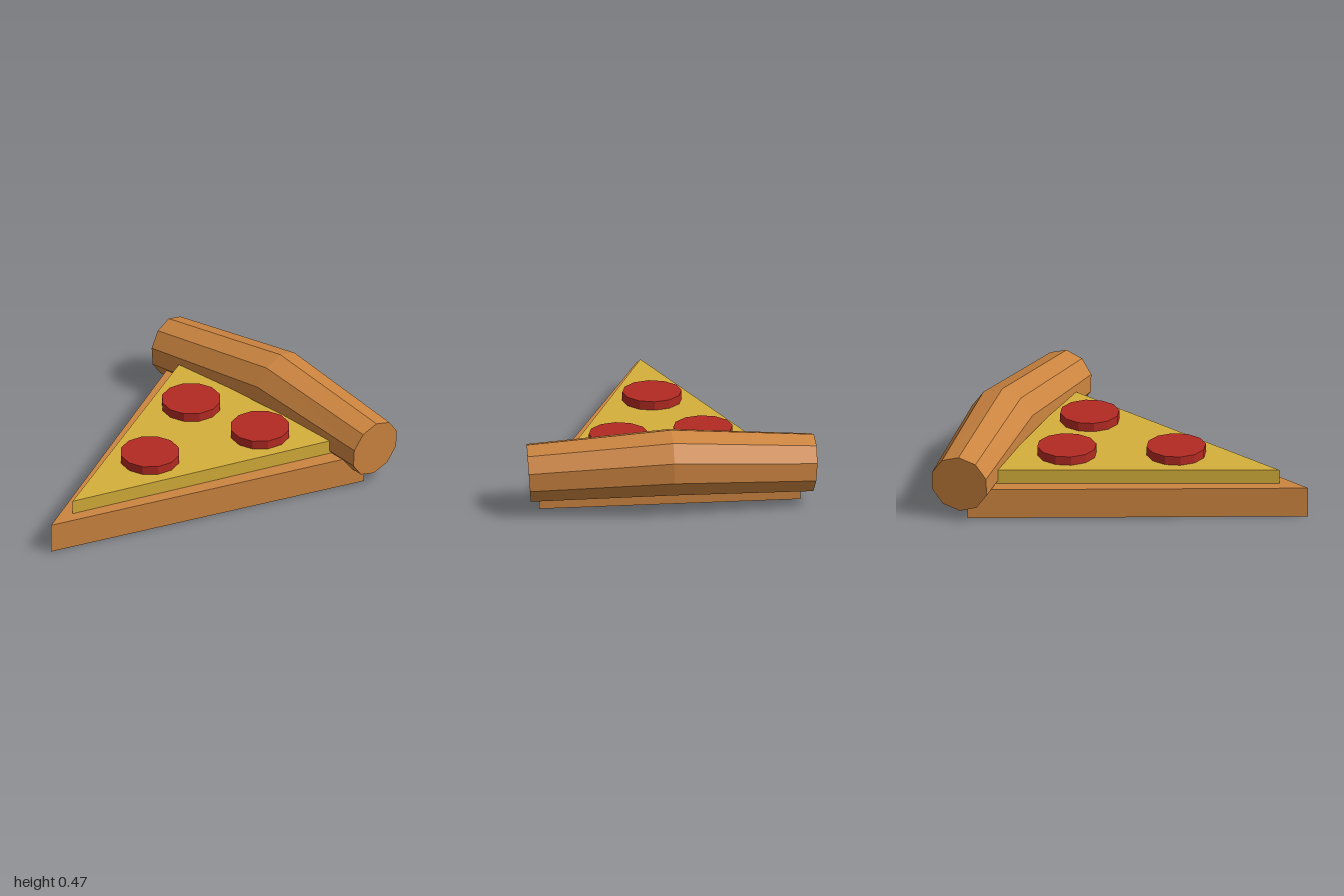
import * as THREE from 'three';

const mat = (name, color) => {
  const m = new THREE.MeshStandardMaterial({ color });
  m.name = name;
  return m;
};

// Triangular slab: tip towards +z, straight back edge
function wedge(name, material, halfWidth, backZ, tipZ, y0, y1) {
  const shape = new THREE.Shape();
  shape.moveTo(-halfWidth, -backZ);
  shape.lineTo(0, -tipZ);
  shape.lineTo(halfWidth, -backZ);
  shape.closePath();
  const geo = new THREE.ExtrudeGeometry(shape, { depth: y1 - y0, bevelEnabled: false });
  geo.rotateX(-Math.PI / 2);
  geo.translate(0, y0, 0);
  const mesh = new THREE.Mesh(geo, material);
  mesh.name = name;
  return mesh;
}

// Ten-sided log lofted through rings, each square to its own direction
function log(rings, sides) {
  const pos = [];
  const loops = rings.map(({ centre, dir, radius }) => {
    const d = new THREE.Vector3(...dir).normalize();
    const up = new THREE.Vector3(0, 1, 0).addScaledVector(d, -d.y).normalize();
    const front = d.clone().cross(up);
    return Array.from({ length: sides }, (_, j) => {
      const t = (j / sides) * Math.PI * 2;
      return new THREE.Vector3(...centre)
        .addScaledVector(up, radius * Math.cos(t))
        .addScaledVector(front, radius * Math.sin(t));
    });
  });
  const tri = (...pts) => pts.forEach((p) => pos.push(p.x, p.y, p.z));
  const first = loops[0], last = loops[loops.length - 1];
  for (let j = 0; j < sides; j++) {
    const k = (j + 1) % sides;
    for (let i = 0; i < loops.length - 1; i++) {
      const a = loops[i], b = loops[i + 1];
      tri(a[j], a[k], b[k]);
      tri(a[j], b[k], b[j]);
    }
    // End caps
    if (j > 0 && k > 0) {
      tri(last[0], last[j], last[k]);
      tri(first[0], first[k], first[j]);
    }
  }
  const geo = new THREE.BufferGeometry();
  geo.setAttribute('position', new THREE.Float32BufferAttribute(pos, 3));
  geo.computeVertexNormals();
  return geo;
}

export function createModel() {
  const group = new THREE.Group();
  group.name = 'pizzaSlice';
  const dough = mat('dough', 0xcd8540);
  const cheese = mat('cheese', 0xd4af3a);
  const salami = mat('pepperoni', 0xb32a22);
  salami.flatShading = true;

  // Dough base and cheese layer
  group.add(wedge('base', dough, 0.725, -0.735, 1, 0, 0.17));
  group.add(wedge('cheese', cheese, 0.585, -0.63, 0.83, 0.17, 0.25));

  // Crust, bent and thicker in the middle
  const crust = new THREE.Mesh(log([
    { centre: [-0.786, 0.225, -0.76], dir: [0.786, 0.055, -0.06], radius: 0.165 },
    { centre: [0, 0.28, -0.82], dir: [1, 0, 0], radius: 0.19 },
    { centre: [0.786, 0.225, -0.76], dir: [0.786, -0.055, 0.06], radius: 0.165 },
  ], 10), dough);
  crust.name = 'crust';
  group.add(crust);

  // Pepperoni discs
  const disc = new THREE.CylinderGeometry(0.165, 0.165, 0.05, 12);
  [[-0.225, -0.345], [0.25, -0.4], [0, 0.215]].forEach(([x, z], i) => {
    const mesh = new THREE.Mesh(disc, salami);
    mesh.name = `pepperoni${i + 1}`;
    mesh.position.set(x, 0.275, z);
    group.add(mesh);
  });
  return group;
}
